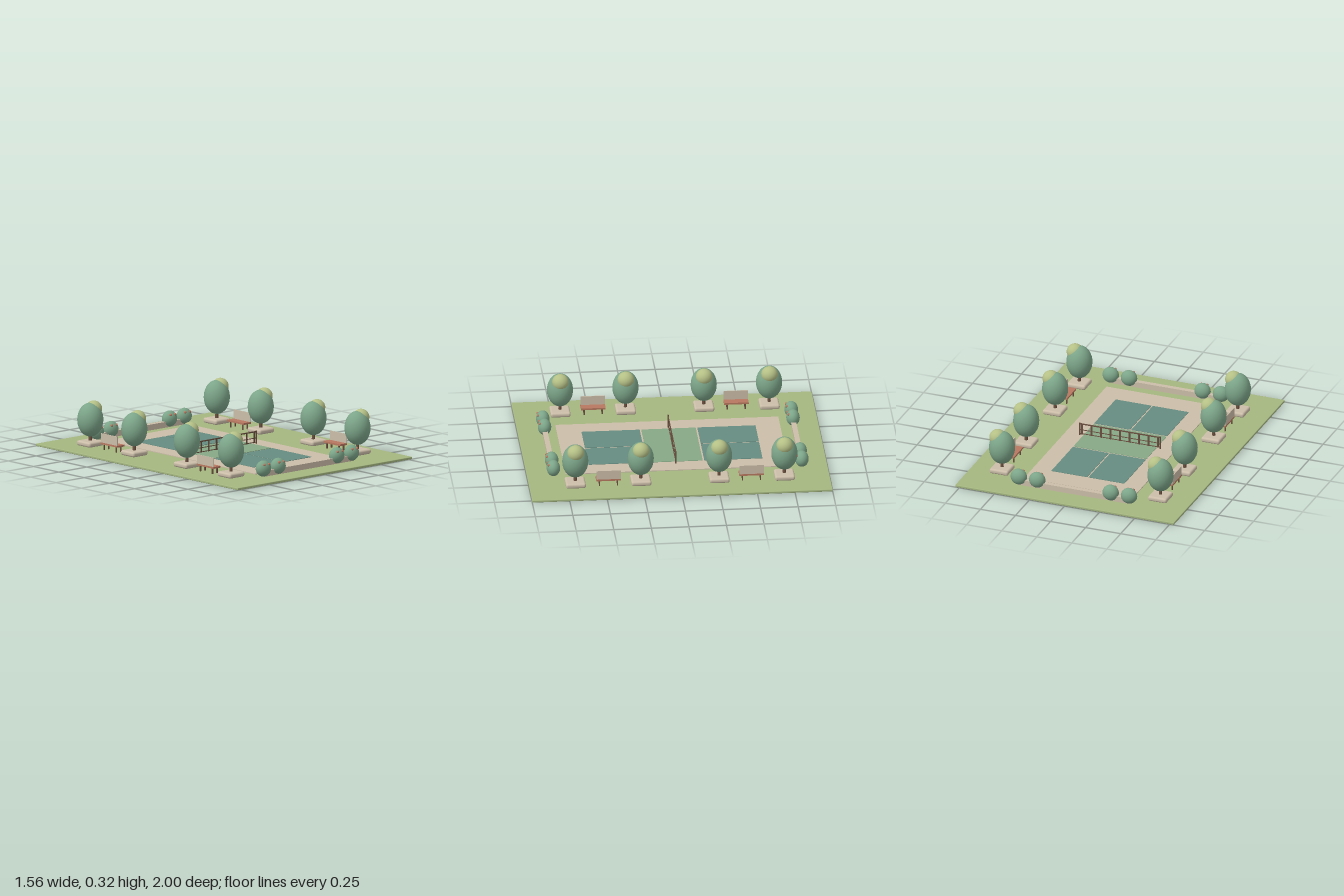
import * as THREE from 'three';
import { RoundedBoxGeometry } from 'three/addons/geometries/RoundedBoxGeometry.js';

function mat(name, color) {
  const m = new THREE.MeshStandardMaterial({ color });
  m.name = name;
  return m;
}

export function createModel() {
  const grass = mat('grass', 0xa5b780);
  const stone = mat('pale stone', 0xcbbda8);
  const teal = mat('court teal', 0x668c80);
  const sage = mat('court sage', 0x86a886);
  const clay = mat('terracotta', 0xb87860);
  const leaf = mat('leaf green', 0x7ca589);
  const lime = mat('sunlit leaf', 0xb5c086);
  const wood = mat('dark wood', 0x6b5040);

  const model = new THREE.Group();
  model.name = 'sportsCourt';

  function add(parent, name, geometry, material, x, y, z) {
    const mesh = new THREE.Mesh(geometry, material);
    mesh.name = name;
    mesh.position.set(x, y, z);
    parent.add(mesh);
    return mesh;
  }
  const box = (parent, name, material, w, h, d, x, y, z) =>
    add(parent, name, new THREE.BoxGeometry(w, h, d), material, x, y, z);
  const ball = (parent, name, material, rx, ry, rz, x, y, z) =>
    add(parent, name, new THREE.SphereGeometry(1, 28, 20), material, x, y, z).scale.set(rx, ry, rz);
  function group(name, x, z) {
    const g = new THREE.Group();
    g.name = name;
    g.position.set(x, 0, z);
    model.add(g);
    return g;
  }

  // Lawn and paved surround
  add(model, 'lawn', new RoundedBoxGeometry(1.56, 0.016, 2, 2, 0.004), grass, 0, 0.008, 0);
  box(model, 'paving', stone, 0.78, 0.006, 1.485, 0, 0.018, 0);

  // Painted court panels, with the paving showing through as lines
  box(model, 'centreZone', sage, 0.52, 0.003, 0.362, 0, 0.0222, 0);
  for (const sz of [-1, 1])
    for (const sx of [-1, 1])
      box(model, 'serviceCourt', teal, 0.255, 0.003, 0.387, sx * 0.1325, 0.0222, sz * 0.3855);

  // Net with posts, tape and open mesh
  const net = group('net', 0, 0);
  for (const s of [-1, 1])
    add(net, 'netPost', new THREE.CylinderGeometry(0.005, 0.005, 0.09, 12), wood, s * 0.288, 0.065, 0);
  box(net, 'netTape', wood, 0.576, 0.008, 0.005, 0, 0.103, 0);
  for (const y of [0.032, 0.06]) box(net, 'netCord', wood, 0.576, 0.005, 0.003, 0, y, 0);
  for (let i = -4; i <= 4; i++) box(net, 'netStrap', wood, 0.012, 0.074, 0.003, i * 0.0675, 0.064, 0);

  // Trees in square planters
  for (const x of [-0.565, 0.565])
    for (const z of [-0.697, -0.262, 0.259, 0.695]) {
      const tree = group('tree', x, z);
      add(tree, 'planter', new RoundedBoxGeometry(0.133, 0.034, 0.133, 4, 0.014), stone, 0, 0.037, 0);
      add(tree, 'trunk', new THREE.CylinderGeometry(0.009, 0.012, 0.06, 14), wood, 0, 0.075, 0);
      ball(tree, 'crown', leaf, 0.087, 0.114, 0.087, 0, 0.195, 0);
      ball(tree, 'sunlitCrown', lime, 0.056, 0.055, 0.056, 0.031, 0.264, 0);
    }

  // Benches with their backs to the outside
  for (const side of [-1, 1])
    for (const z of [-0.477, 0.475]) {
      const bench = group('bench', side * 0.565, z);
      box(bench, 'seat', clay, 0.064, 0.012, 0.164, 0, 0.06, 0);
      box(bench, 'backrest', stone, 0.006, 0.063, 0.162, side * 0.028, 0.096, 0);
      for (const sz of [-1, 1])
        for (const sx of [-1, 1])
          box(bench, 'leg', wood, 0.008, 0.04, 0.008, sx * 0.02, 0.036, sz * 0.06);
    }

  // Low end walls with flowering shrubs
  for (const z of [-0.829, 0.825]) {
    const border = group('endBorder', 0, z);
    box(border, 'lowWall', stone, 0.8, 0.034, 0.026, 0, 0.032, 0);
    box(border, 'wallCap', stone, 0.8, 0.008, 0.034, 0, 0.052, 0);
    for (const x of [-0.393, -0.262, 0.262, 0.393]) {
      ball(border, 'shrub', leaf, 0.056, 0.054, 0.045, x, 0.07, 0);
      for (const s of [-1, 1])
        ball(border, 'blossom', clay, 0.009, 0.009, 0.009, x + s * 0.02, 0.101, 0.032);
    }
  }
  return model;
}
